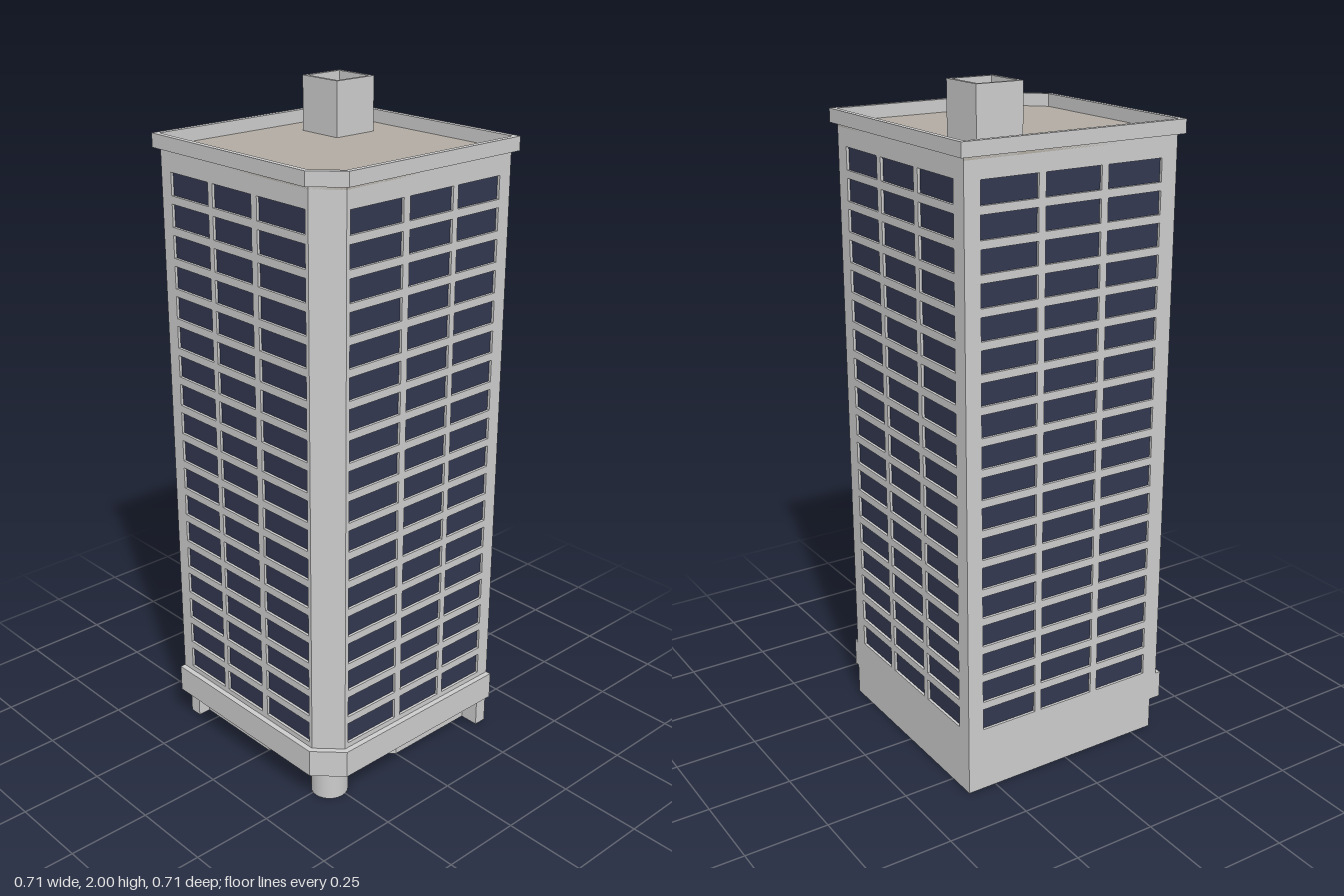
import * as THREE from 'three';

const grey = new THREE.MeshStandardMaterial({ color: 0xcccccc });
const greyOpen = new THREE.MeshStandardMaterial({ color: 0xcccccc, side: THREE.DoubleSide });
const glass = new THREE.MeshStandardMaterial({ color: 0x31374f });
const taupe = new THREE.MeshStandardMaterial({ color: 0xb1aba2 });

const HALF = 0.34, CUT = 0.272, RECESS = 0.008;
const BASE = 0.095, PODIUM = 0.18, ROOF = 1.84, TOP = 1.88;
const ROWS = 18, PITCH = 0.0892, SILL = 0.196, WIN_H = 0.066;

// Vertical prism from [x, z] plan corners, with an optional hole wound the other way
function prism(name, plan, y0, y1, material, hole) {
  const toV2 = ([x, z]) => new THREE.Vector2(x, -z);
  const shape = new THREE.Shape(plan.map(toV2));
  if (hole) shape.holes.push(new THREE.Path(hole.map(toV2).reverse()));
  const geo = new THREE.ExtrudeGeometry(shape, { depth: y1 - y0, bevelEnabled: false });
  geo.rotateX(-Math.PI / 2).translate(0, y0, 0);
  const mesh = new THREE.Mesh(geo, material);
  mesh.name = name;
  return mesh;
}

// Square plan with the front corner on the -x side cut off
const cutSquare = (h, c) => [[-h, -h], [h, -h], [h, h], [-c, h], [-h, c]];

const rect = (x0, x1, z0, z1) => [[x0, z0], [x1, z0], [x1, z1], [x0, z1]];

// Facade panel with a grid of window openings, turned about the y axis
function facade(name, u0, u1, columns, distance, angle) {
  const shape = new THREE.Shape(rect(u0, u1, PODIUM, ROOF).map(p => new THREE.Vector2(...p)));
  for (const [a, b] of columns) {
    for (let row = 0; row < ROWS; row++) {
      const y = SILL + row * PITCH;
      shape.holes.push(new THREE.Path(rect(a, b, y, y + WIN_H).map(p => new THREE.Vector2(...p))));
    }
  }
  const geo = new THREE.ExtrudeGeometry(shape, { depth: RECESS, bevelEnabled: false });
  geo.translate(0, 0, distance - RECESS).rotateY(angle);
  const mesh = new THREE.Mesh(geo, grey);
  mesh.name = name;
  return mesh;
}

export function createModel() {
  const tower = new THREE.Group();
  tower.name = 'towerBlock';

  // Glazed core showing through the facade openings
  tower.add(prism('windowGlass', cutSquare(HALF - RECESS, CUT - 0.004), PODIUM, ROOF - 0.01, glass));

  // Four facades and the cut corner
  const frontCols = [[-0.26, -0.071], [-0.048, 0.114], [0.133, 0.297]];
  const sideCols = [[-0.291, -0.113], [-0.091, 0.088], [0.11, 0.289]];
  const mirrored = frontCols.map(([a, b]) => [-b, -a]);
  tower.add(
    facade('frontFacade', -CUT, HALF, frontCols, HALF, 0),
    facade('leftFacade', -HALF, HALF, sideCols, HALF, Math.PI / 2),
    facade('backFacade', -HALF, HALF, sideCols, HALF, Math.PI),
    facade('rightFacade', -HALF, CUT, mirrored, HALF, -Math.PI / 2)
  );
  const cutHalf = (HALF - CUT) / Math.SQRT2;
  tower.add(facade('cutCorner', -cutHalf, cutHalf, [], (HALF + CUT) / Math.SQRT2, -Math.PI / 4));

  // Podium band overhanging the two entrance sides
  tower.add(prism('podiumBand',
    [[-0.357, -HALF], [HALF, -HALF], [HALF, 0.357], [-0.279, 0.357], [-0.357, 0.279]],
    BASE, PODIUM, grey));

  // Hollow ground floor, set back behind the corner column
  const lobbyInside = [[-0.268, -0.325], [0.325, -0.325], [0.325, 0.268], [0.005, 0.268], [-0.268, -0.005]];
  tower.add(prism('groundFloorWalls',
    [[HALF, -HALF], [HALF, HALF], [0.3, HALF], [0.3, 0.28], [0, 0.28],
      [-0.28, 0], [-0.28, -0.3], [-0.32, -0.3], [-0.32, -HALF]],
    0, BASE, grey, lobbyInside));
  tower.add(prism('groundFloorCeiling', lobbyInside, BASE - 0.003, BASE, taupe));

  // Open tube column under the cut corner
  const column = new THREE.Mesh(new THREE.CylinderGeometry(0.055, 0.055, BASE, 24, 1, true), greyOpen);
  column.name = 'cornerColumn';
  column.position.set(-0.265, BASE / 2, 0.265);
  tower.add(column);

  // Roof deck, parapet and open shaft
  tower.add(prism('roofDeck', cutSquare(0.34, 0.272), ROOF - 0.01, ROOF + 0.002, taupe));
  tower.add(prism('parapet', cutSquare(0.356, 0.278), ROOF, TOP, grey, cutSquare(0.34, 0.272)));
  tower.add(prism('roofShaft', rect(0.1, 0.243, -0.246, -0.101), ROOF, 2, grey,
    rect(0.111, 0.232, -0.235, -0.112)));

  return tower;
}
